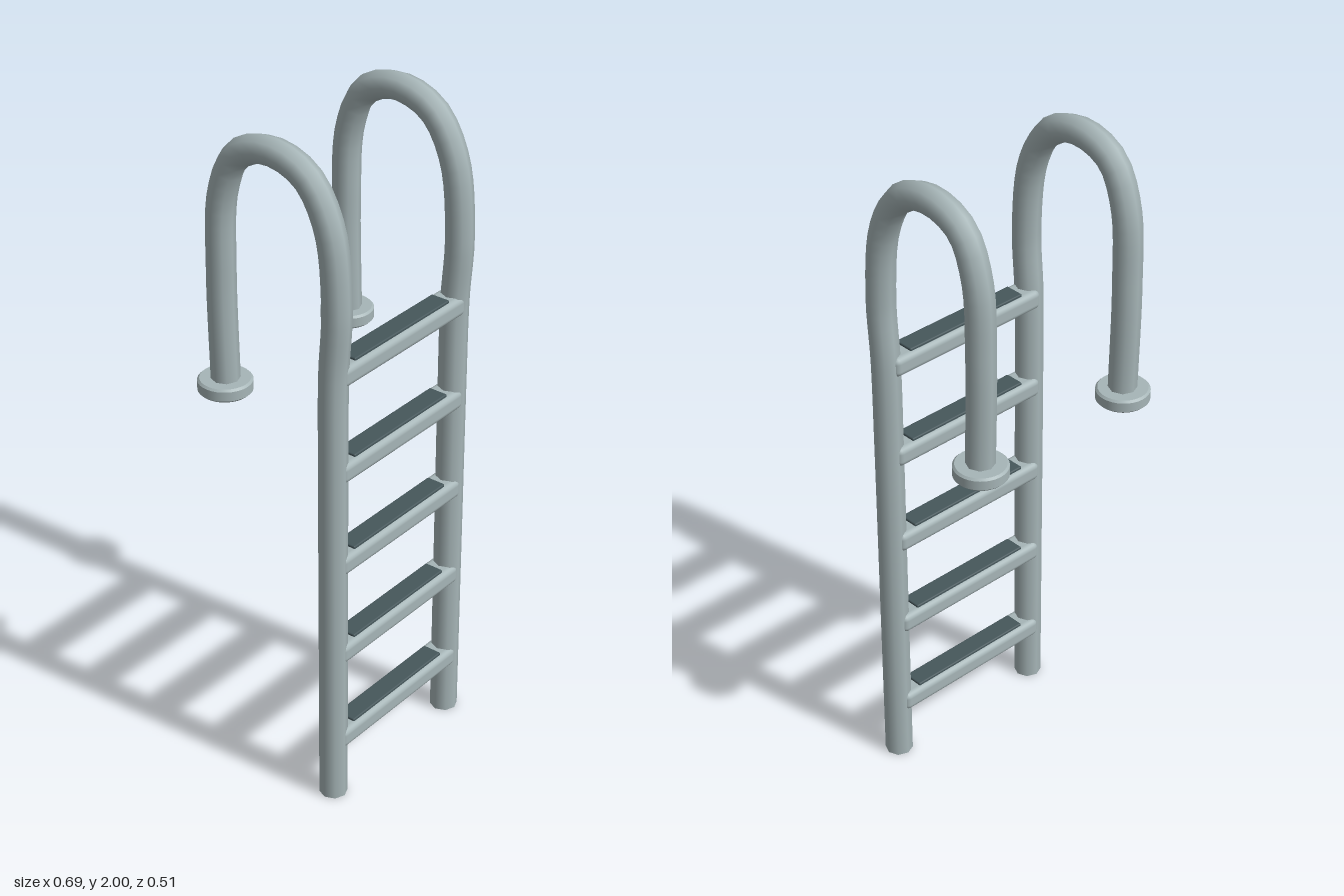
import * as THREE from 'three';
import { RoundedBoxGeometry } from 'three/addons/geometries/RoundedBoxGeometry.js';

export function createModel() {
  const steel = new THREE.MeshStandardMaterial({ color: 0xa6b5b7 });
  steel.name = 'steel';
  const rubber = new THREE.MeshStandardMaterial({ color: 0x46575b });
  rubber.name = 'darkRubber';

  const ladder = new THREE.Group();
  ladder.name = 'poolLadder';

  function add(parent, name, geometry, material, x, y, z) {
    const mesh = new THREE.Mesh(geometry, material);
    mesh.name = name;
    mesh.position.set(x, y, z);
    parent.add(mesh);
    return mesh;
  }

  const railX = 0.267;
  const railR = 0.041;

  // Rail centre line as [z, y]: straight leg, hooped grab handle, short rear leg
  const path = new THREE.CatmullRomCurve3([
    [0.2, 0], [0.2, 0.6], [0.2, 1.1], [0.202, 1.38], [0.213, 1.58],
    [0.188, 1.8], [0.115, 1.921], [0, 1.959], [-0.11, 1.92],
    [-0.166, 1.8], [-0.179, 1.57], [-0.173, 1.22],
  ].map(([z, y]) => new THREE.Vector3(0, y, z)));
  const railGeometry = new THREE.TubeGeometry(path, 72, railR, 8, false);
  const capGeometry = new THREE.CircleGeometry(railR, 8).rotateX(Math.PI / 2);

  // Anchor flange with a small bevel on both rims
  const flangeProfile = [
    [0, 0], [0.071, 0], [0.071, 0], [0.077, 0.006], [0.077, 0.006],
    [0.077, 0.034], [0.077, 0.034], [0.071, 0.04], [0.071, 0.04], [0, 0.04],
  ].map(([r, y]) => new THREE.Vector2(r, y));
  const flangeGeometry = new THREE.LatheGeometry(flangeProfile, 32);

  for (const [side, sign] of [['left', 1], ['right', -1]]) {
    const rail = new THREE.Group();
    rail.name = side + 'Rail';
    rail.position.x = sign * railX;
    add(rail, side + 'RailTube', railGeometry, steel, 0, 0, 0);
    add(rail, side + 'RailFoot', capGeometry, steel, 0, 0, 0.2);
    add(rail, side + 'AnchorFlange', flangeGeometry, steel, 0, 1.2, -0.175);
    ladder.add(rail);
  }

  // Five treads, each with a grip pad on top
  const treadGeometry = new RoundedBoxGeometry(0.54, 0.06, 0.087, 3, 0.018);
  const padGeometry = new RoundedBoxGeometry(0.415, 0.016, 0.06, 2, 0.004);
  for (let i = 0; i < 5; i++) {
    const y = 0.194 + i * 0.295;
    const step = new THREE.Group();
    step.name = 'step' + (i + 1);
    step.position.set(0, y, 0.197);
    add(step, 'tread', treadGeometry, steel, 0, 0, 0);
    add(step, 'gripPad', padGeometry, rubber, 0, 0.029, 0);
    ladder.add(step);
  }

  return ladder;
}
